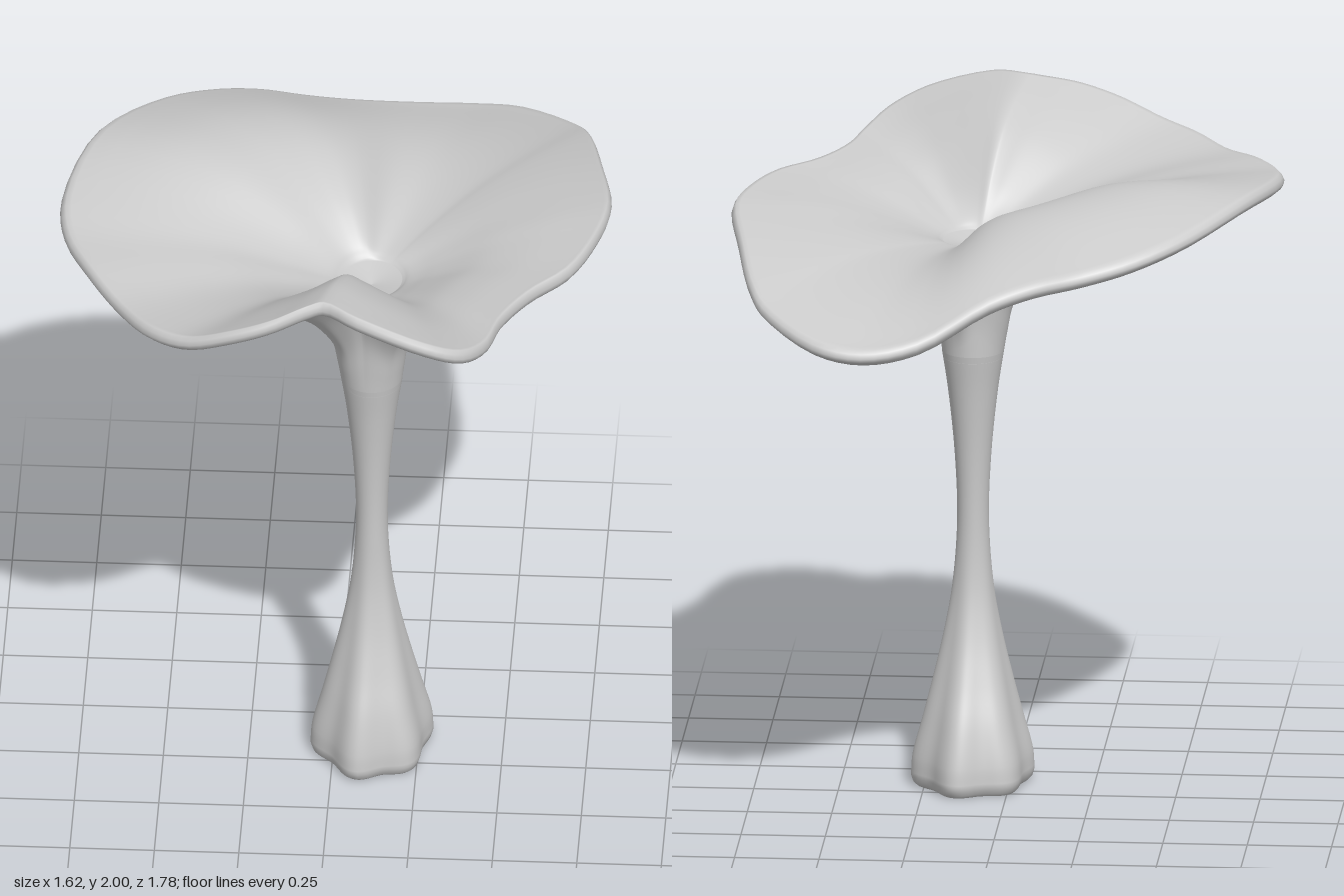
import * as THREE from 'three';

const SIDES = 120;
const AXIS = new THREE.Vector3(0.112, 0, 0.155);

// Wavy edge of the cap, counterclockwise seen from above
const RIM = [
  [0, 1.97, 0.79], [0.1, 1.96, 0.85], [0.3, 1.9, 0.885], [0.41, 1.85, 0.845],
  [0.48, 1.81, 0.73], [0.52, 1.8, 0.58], [0.6, 1.795, 0.43], [0.71, 1.795, 0.3],
  [0.78, 1.795, 0.12], [0.81, 1.79, -0.06], [0.77, 1.75, -0.33], [0.72, 1.69, -0.58],
  [0.67, 1.65, -0.69], [0.5, 1.59, -0.86], [0.36, 1.575, -0.89], [0.2, 1.6, -0.85],
  [0, 1.69, -0.72], [-0.13, 1.73, -0.675], [-0.27, 1.76, -0.655], [-0.41, 1.79, -0.6],
  [-0.56, 1.83, -0.48], [-0.73, 1.88, -0.22], [-0.81, 1.86, 0.1], [-0.79, 1.84, 0.27],
  [-0.72, 1.83, 0.42], [-0.62, 1.81, 0.58], [-0.52, 1.82, 0.72], [-0.41, 1.84, 0.8],
  [-0.28, 1.89, 0.84], [-0.16, 1.93, 0.84], [-0.05, 1.96, 0.8],
];

// Stem profile: height, half width in x, half width in z
const STEM = [
  [0.03, 0.176, 0.22], [0.09, 0.172, 0.214], [0.2, 0.145, 0.186], [0.32, 0.116, 0.14],
  [0.45, 0.087, 0.097], [0.6, 0.061, 0.066], [0.8, 0.047, 0.055], [1.0, 0.054, 0.062],
  [1.2, 0.074, 0.082], [1.32, 0.092, 0.1],
];

// Rise of the flared underside: fraction outward, fraction of height
const FLARE = [[0, 0], [0.015, 0.14], [0.04, 0.31], [0.1, 0.46], [0.2, 0.62], [0.42, 0.82], [0.65, 0.92], [0.9, 0.98], [1, 1]];

// Smooth skin through closed rings of points
function loft(name, rings) {
  const positions = [], index = [];
  rings.forEach(ring => ring.forEach(p => positions.push(p.x, p.y, p.z)));
  for (let r = 0; r < rings.length - 1; r++) {
    for (let i = 0; i < SIDES; i++) {
      const j = (i + 1) % SIDES;
      const a = r * SIDES + i, b = r * SIDES + j;
      index.push(a, b, b + SIDES, a, b + SIDES, a + SIDES);
    }
  }
  const geometry = new THREE.BufferGeometry();
  geometry.setAttribute('position', new THREE.Float32BufferAttribute(positions, 3));
  geometry.setIndex(index);
  geometry.computeVertexNormals();
  const mesh = new THREE.Mesh(geometry, new THREE.MeshStandardMaterial({ color: 0xcccccc }));
  mesh.name = name;
  return mesh;
}

const spline = (points, closed) =>
  new THREE.CatmullRomCurve3(points.map(p => new THREE.Vector3(...p)), closed, 'centripetal');

const smoothMax = (a, b, blend) => (a + b + Math.hypot(a - b, blend)) / 2;

export function createModel() {
  const rimCurve = spline(RIM, true);
  const rim = Array.from({ length: SIDES }, (_, i) => rimCurve.getPoint(i / SIDES));
  const angles = rim.map(p => Math.atan2(p.z - AXIS.z, p.x - AXIS.x));

  // Oval stem ring, lobed and leaning slightly back towards the foot
  const stemRing = (y, rx, rz) => angles.map(a => {
    const fade = Math.max(0, 1 - y / 0.75);
    const lobe = 1 + 0.07 * fade * (Math.cos(6 * (a + 0.26)) - 0.3);
    return new THREE.Vector3(AXIS.x + rx * lobe * Math.cos(a), y, AXIS.z - 0.012 * fade + rz * lobe * Math.sin(a));
  });

  // Stem with a flat, slightly rounded foot
  const stemRings = [stemRing(0, 0, 0), stemRing(0, 0.15, 0.19), stemRing(0, 0.16, 0.2), stemRing(0.01, 0.17, 0.212)];
  spline(STEM, false).getPoints(45).forEach(p => stemRings.push(stemRing(p.x, p.y, p.z)));
  const stem = loft('stem', stemRings);

  // Underside of the cap, flaring from the stem to the rim, flatter at the back
  const start = stemRing(1.3, 0.089, 0.097);
  const steps = spline(FLARE.map(([k, f]) => [k, f, 0]), false).getPoints(40);
  const underside = steps.map(({ x: k, y: f }) => rim.map((p, i) => {
    const back = Math.max(0, -Math.sin(angles[i])) ** 2;
    const q = start[i].clone().lerp(p, k * 0.98);
    q.y = THREE.MathUtils.lerp(1.3, p.y - 0.022, f ** (1 - 0.6 * back));
    return q;
  }));

  // Rounded rim
  const edge = [[0.005, -0.012], [0, 0], [0.006, 0.014]].map(([inset, dy]) =>
    rim.map(p => p.clone().lerp(AXIS, inset).setY(p.y + dy)));

  // Upper face: follows the underside down into a shallow funnel, with a swell at the back
  const upper = underside.map((ring, s) => ring.map((q, i) => {
    const k = steps[s].x;
    const swell = 0.1 * Math.max(0, Math.cos(angles[i] + 1.95)) ** 2 * Math.sin(Math.PI * k);
    const floor = THREE.MathUtils.lerp(1.6, rim[i].y - 0.03, k);
    const blend = 0.12 * (1 - k);
    return q.clone().setY(smoothMax(q.y, floor, blend) + 0.047 + swell);
  })).reverse();
  const centre = rim.map(() => AXIS.clone().setY(1.64));
  const cap = loft('cap', [...underside, ...edge, ...upper, centre]);

  const group = new THREE.Group();
  group.name = 'mushroom';
  group.add(stem, cap);
  return group;
}
